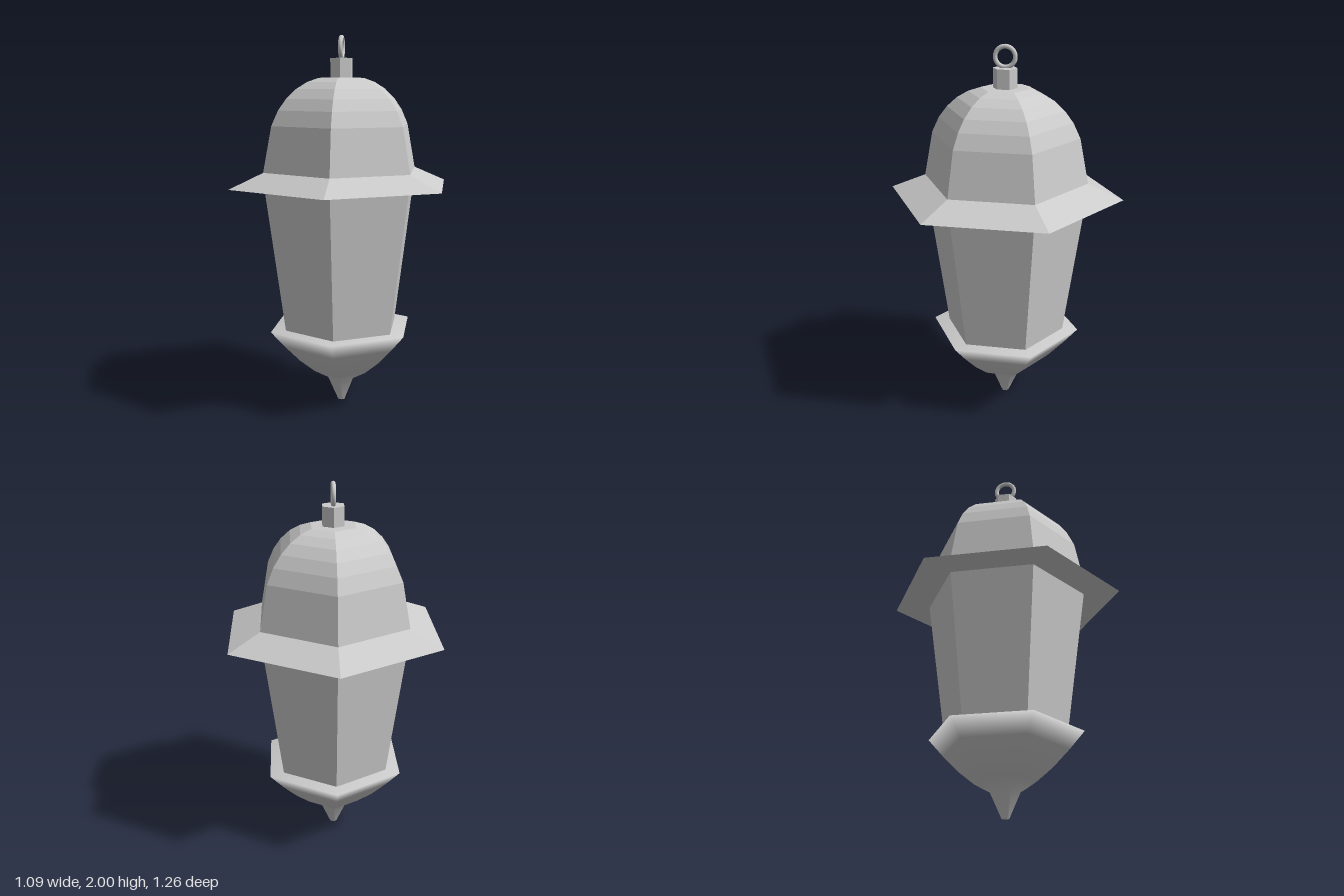
import * as THREE from 'three';

const SIDES = 6;
const flat = new THREE.MeshStandardMaterial({ color: 0xcccccc, flatShading: true });
const smooth = new THREE.MeshStandardMaterial({ color: 0xcccccc });

// Six-sided part from a [radius, height] profile, listed bottom to top; corners point along z.
function hexLathe(name, profile, material) {
  const points = profile.map(([r, y]) => new THREE.Vector2(r, y));
  const mesh = new THREE.Mesh(new THREE.LatheGeometry(points, SIDES), material);
  mesh.name = name;
  return mesh;
}

export function createModel() {
  const lantern = new THREE.Group();
  lantern.name = 'hangingLantern';

  // Pointed base with softly shaded sides and a flat top
  lantern.add(hexLathe('base', [
    [0, 0], [0.02, 0], [0.08, 0.135], [0.16, 0.18], [0.245, 0.25],
    [0.33, 0.338], [0.41, 0.43], [0, 0.43],
  ], smooth));

  // Tapered glass body
  lantern.add(hexLathe('glassBody', [[0.325, 0.43], [0.435, 1.21]], flat));

  // Sloped brim with a flat underside
  lantern.add(hexLathe('brim', [[0, 1.21], [0.628, 1.21], [0.44, 1.29]], flat));

  // Domed roof
  lantern.add(hexLathe('roof', [
    [0.44, 1.29], [0.393, 1.53], [0.355, 1.61], [0.31, 1.67],
    [0.255, 1.72], [0.195, 1.755], [0.13, 1.777], [0, 1.78],
  ], flat));

  // Block that carries the hanging ring
  lantern.add(hexLathe('ringMount', [[0.064, 1.77], [0.064, 1.88], [0, 1.88]], flat));

  // Hanging ring, standing in the front-to-back plane
  const ring = new THREE.Mesh(new THREE.TorusGeometry(0.052, 0.012, 12, 40), smooth);
  ring.name = 'hangingRing';
  ring.rotation.y = Math.PI / 2;
  ring.position.y = 1.936;
  lantern.add(ring);

  return lantern;
}
